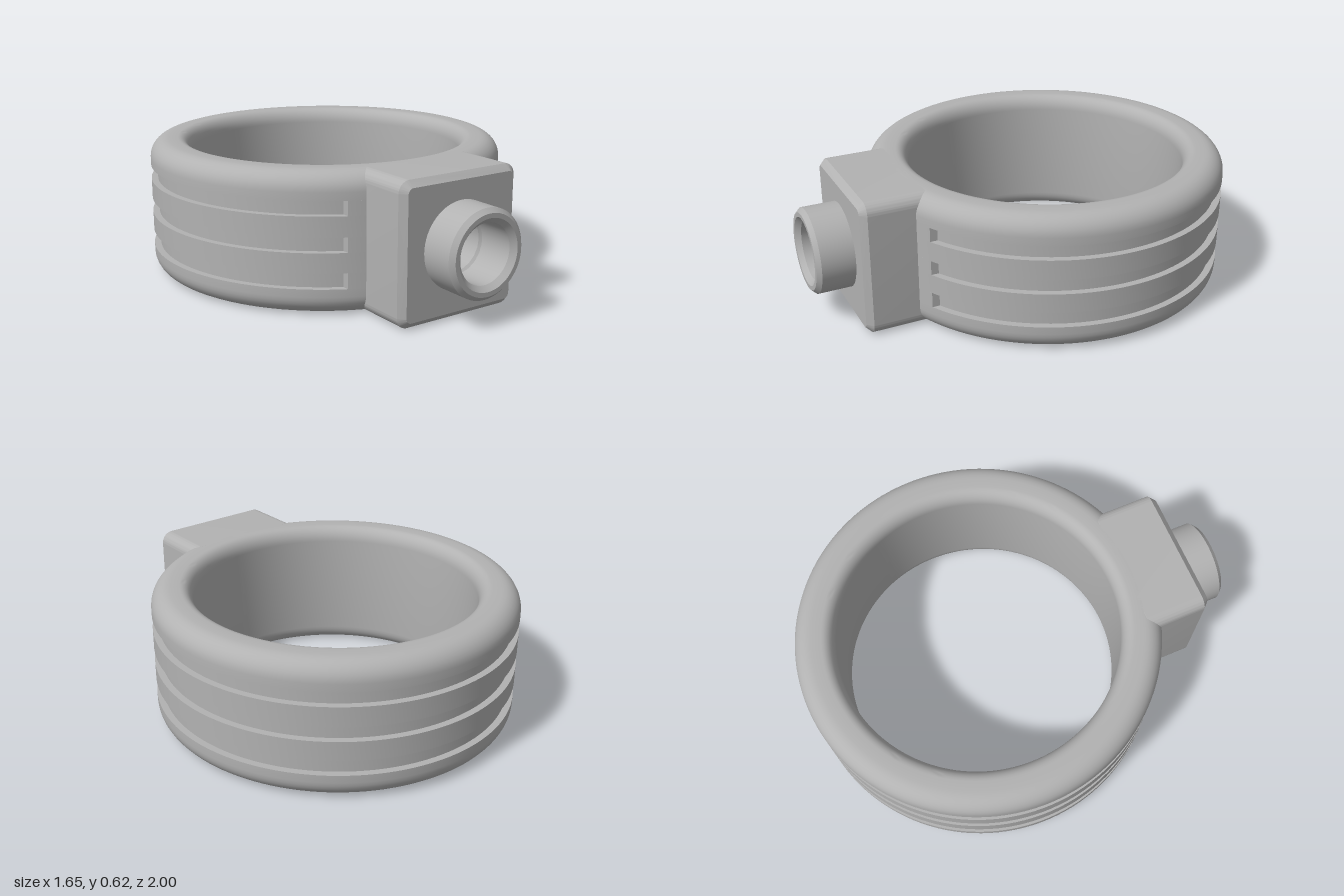
import * as THREE from 'three';
import { toCreasedNormals } from 'three/addons/utils/BufferGeometryUtils.js';

const HEIGHT = 0.62, OUTER = 0.825, INNER = 0.64, GROOVE_R = 0.795;
const RING_Z = -0.175, GROOVE_END_X = 0.375;
const GROOVES = [[0.12, 0.19], [0.278, 0.344], [0.435, 0.5]];

export function createModel() {
  const model = new THREE.Group();
  const grey = new THREE.MeshStandardMaterial({ color: 0xb2b2b2 });

  const add = (name, geometry, z = 0) => {
    const mesh = new THREE.Mesh(toCreasedNormals(geometry, 0.5), grey);
    mesh.name = name;
    mesh.position.z = z;
    model.add(mesh);
  };

  // Ring: closed cross-section with rounded edges and three outer grooves
  const profile = [];
  const point = (r, y) => profile.push(new THREE.Vector2(r, y));
  const corner = (r, y, rx, ry, from) => {
    for (let i = 0; i <= 8; i++) {
      const a = from + (i / 8) * Math.PI / 2;
      point(r + rx * Math.cos(a), y + ry * Math.sin(a));
    }
  };
  const round = 0.085, inX = 0.055, inY = 0.07;
  corner(OUTER - round, round, round, round, -Math.PI / 2);
  for (const [y0, y1] of GROOVES) {
    point(OUTER, y0);
    point(GROOVE_R, y0);
    point(GROOVE_R, y1);
    point(OUTER, y1);
  }
  corner(OUTER - round, HEIGHT - round, round, round, 0);
  corner(INNER + inX, HEIGHT - inY, inX, inY, Math.PI / 2);
  corner(INNER + inX, inY, inX, inY, Math.PI);
  profile.push(profile[0].clone());
  add('ring', new THREE.LatheGeometry(profile, 128), RING_Z);

  // Solid stretches at the front where the grooves stop
  const a1 = Math.acos(GROOVE_END_X / OUTER);
  const a2 = Math.acos(GROOVE_END_X / (GROOVE_R - 0.005));
  const arc = new THREE.Shape();
  arc.absarc(0, 0, OUTER, a1, Math.PI - a1, false);
  arc.absarc(0, 0, GROOVE_R - 0.005, Math.PI - a2, a2, true);
  for (const [y0, y1] of GROOVES) {
    const fill = new THREE.ExtrudeGeometry(arc, { depth: y1 - y0, bevelEnabled: false, curveSegments: 24 });
    fill.rotateX(Math.PI / 2).translate(0, y1, 0);
    add('grooveStop', fill, RING_Z);
  }

  // Front block: rounded square with a chamfered face and a bore
  const bevel = 0.028, w = 0.305 - bevel, h = HEIGHT / 2 - bevel, r = 0.025;
  const square = new THREE.Shape();
  square.absarc(w - r, h - r, r, 0, Math.PI / 2);
  square.absarc(-w + r, h - r, r, Math.PI / 2, Math.PI);
  square.absarc(-w + r, -h + r, r, Math.PI, Math.PI * 1.5);
  square.absarc(w - r, -h + r, r, Math.PI * 1.5, Math.PI * 2);
  square.closePath();
  const hole = new THREE.Path();
  hole.absarc(0, 0.005, 0.15, 0, Math.PI * 2, true);
  square.holes.push(hole);
  const block = new THREE.ExtrudeGeometry(square, {
    depth: 0.272, bevelSize: bevel, bevelThickness: bevel, bevelSegments: 1, curveSegments: 10,
  });
  block.translate(0, HEIGHT / 2, 0.53);
  add('frontBlock', block);

  // Hollow spout with chamfered rim and a blind bore
  const spout = [
    [0.193, 0.79], [0.193, 0.98], [0.174, 1], [0.154, 1],
    [0.131, 0.977], [0.131, 0.655], [0, 0.655],
  ].map(([x, y]) => new THREE.Vector2(x, y));
  const spoutGeometry = new THREE.LatheGeometry(spout, 64);
  spoutGeometry.rotateX(Math.PI / 2).translate(0, 0.315, 0);
  add('spout', spoutGeometry);

  return model;
}
